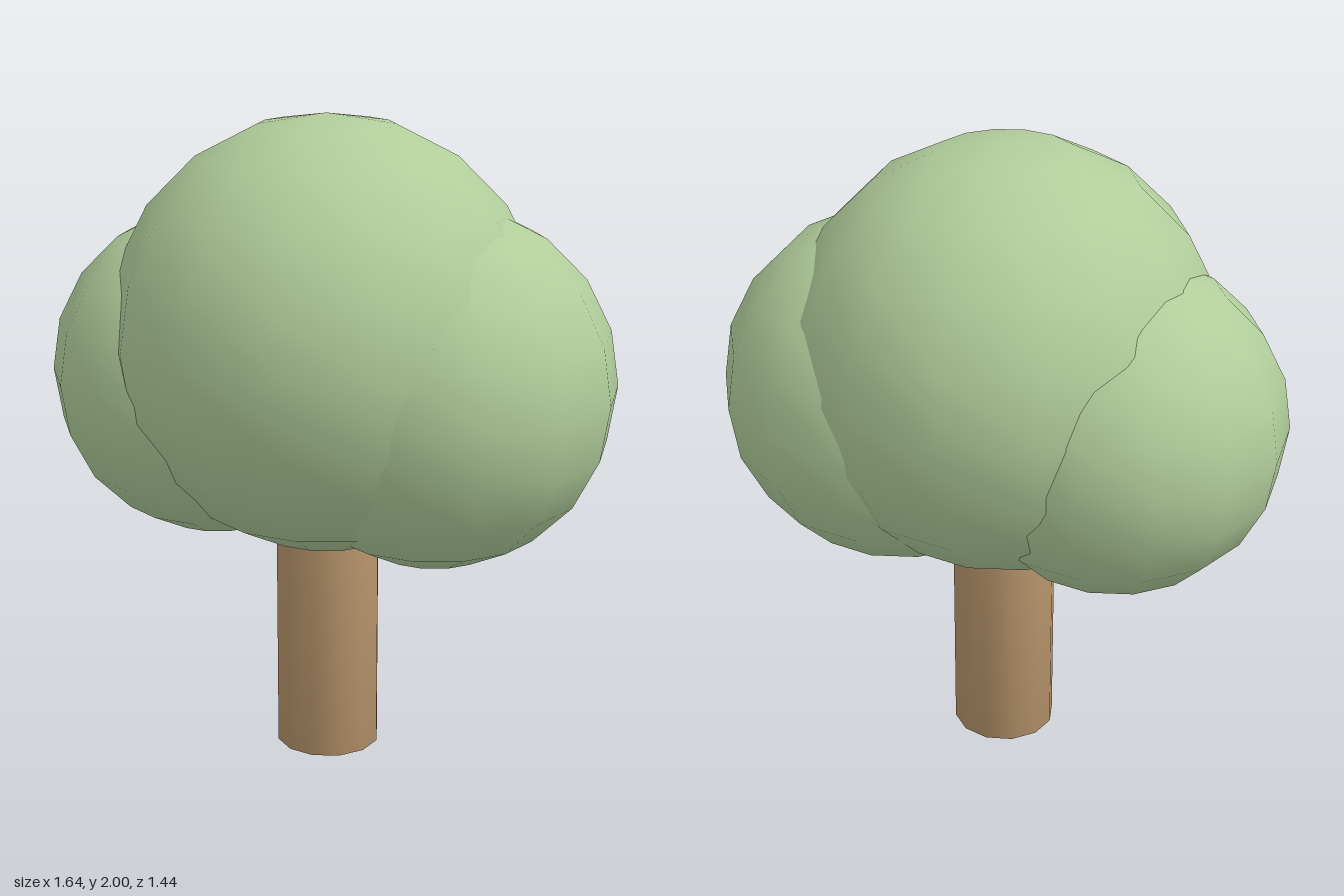
import * as THREE from 'three';
import { mergeVertices } from 'three/addons/utils/BufferGeometryUtils.js';

export function createModel() {
  const tree = new THREE.Group();
  tree.name = 'tree';
  const leafMaterial = new THREE.MeshStandardMaterial({ color: 0xb1cd9b });
  const barkMaterial = new THREE.MeshStandardMaterial({ color: 0xb5926a });

  // Trunk: low-poly cylinder with normals shared across its rims
  const height = 0.76;
  let trunkGeometry = new THREE.CylinderGeometry(0.163, 0.163, height, 12);
  trunkGeometry.deleteAttribute('normal');
  trunkGeometry.deleteAttribute('uv');
  trunkGeometry = mergeVertices(trunkGeometry);
  trunkGeometry.computeVertexNormals();
  const trunk = new THREE.Mesh(trunkGeometry, barkMaterial);
  trunk.name = 'trunk';
  trunk.position.set(-0.018, height / 2, 0.018);
  tree.add(trunk);

  // Foliage: three overlapping smooth balls, 14 segments with vertices on the z axis
  const addFoliage = (name, radius, x, y, z) => {
    const geometry = new THREE.SphereGeometry(radius, 14, 10).rotateY(Math.PI / 2);
    const ball = new THREE.Mesh(geometry, leafMaterial);
    ball.name = name;
    ball.position.set(x, y, z);
    tree.add(ball);
  };
  addFoliage('mainFoliage', 0.665, -0.02, 1.335, 0.015);
  addFoliage('frontLeftFoliage', 0.555, 0.28, 1.19, 0.165);
  addFoliage('backRightFoliage', 0.515, -0.32, 1.185, -0.21);

  return tree;
}
